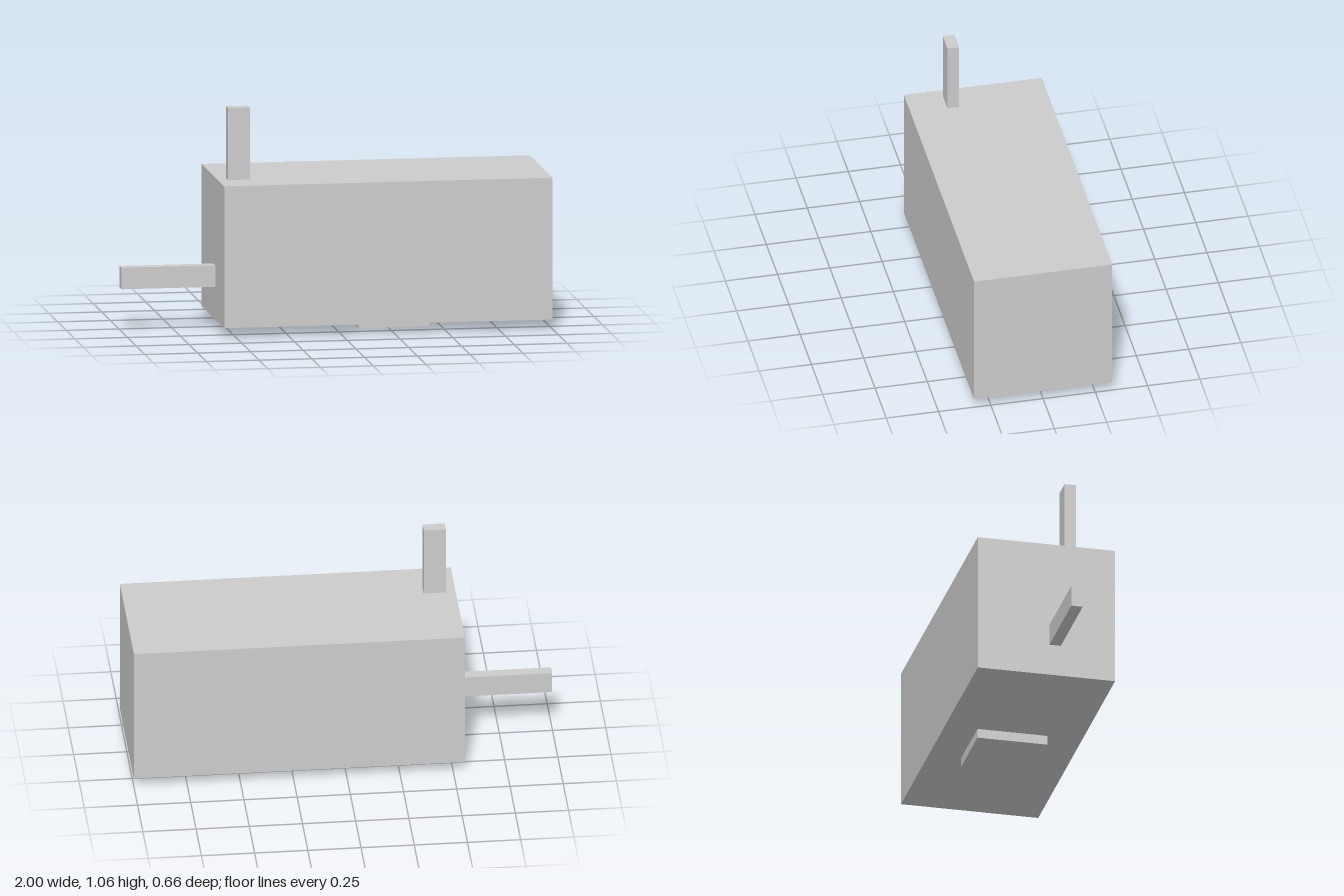
import * as THREE from 'three';

const material = new THREE.MeshStandardMaterial({ color: 0xcccccc, flatShading: true });

// Box spanning the given [min, max] range on each axis
function block(name, [x0, x1], [y0, y1], [z0, z1]) {
  const mesh = new THREE.Mesh(new THREE.BoxGeometry(x1 - x0, y1 - y0, z1 - z0), material);
  mesh.position.set((x0 + x1) / 2, (y0 + y1) / 2, (z0 + z1) / 2);
  mesh.name = name;
  return mesh;
}

export function createModel() {
  const model = new THREE.Group();
  model.name = 'boxWithPosts';
  model.add(
    // Main housing
    block('body', [-0.555, 1], [0.045, 0.717], [-0.33, 0.33]),
    // Shallow pad under the housing
    block('basePad', [0.107, 0.441], [0, 0.045], [-0.174, 0.163]),
    // Upright post on top
    block('topPost', [-0.509, -0.405], [0.717, 1.058], [0.098, 0.154]),
    // Bar reaching out from the right end
    block('sideBar', [-1, -0.555], [0.199, 0.301], [0.014, 0.069]),
  );
  return model;
}
